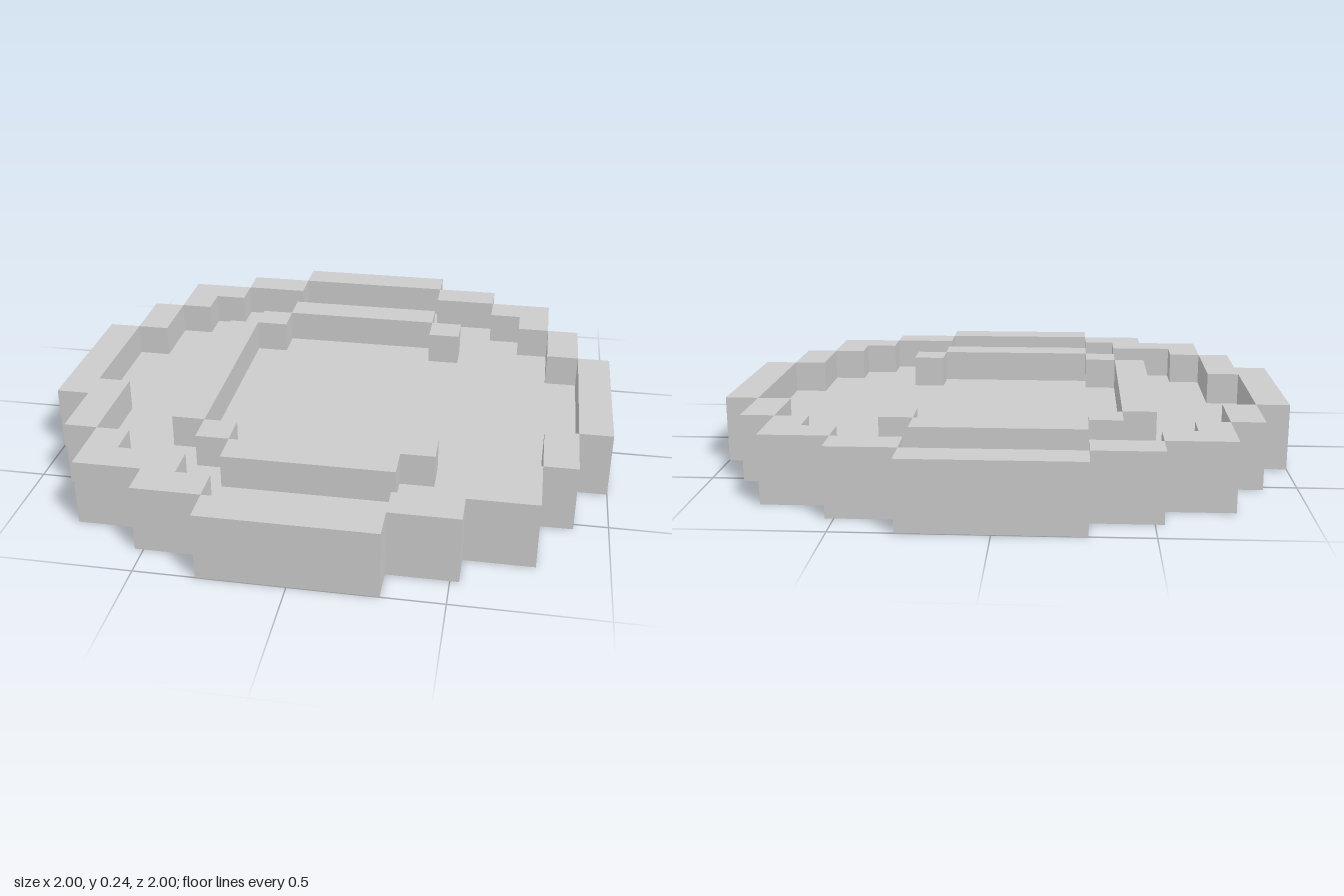
import * as THREE from 'three';

const U = 2 / 17; // one grid cell
const material = new THREE.MeshStandardMaterial({ color: 0xcccccc, flatShading: true });

// Box given by its x, y and z limits in cells
function block(name, x0, x1, y0, y1, z0, z1) {
  const geometry = new THREE.BoxGeometry((x1 - x0) * U, (y1 - y0) * U, (z1 - z0) * U);
  geometry.translate((x0 + x1) / 2 * U, (y0 + y1) / 2 * U, (z0 + z1) / 2 * U);
  const mesh = new THREE.Mesh(geometry, material);
  mesh.name = name;
  return mesh;
}

// Upright slab standing on y = 0, from an outline of [x, z] in cells
function slab(name, outline, height) {
  const shape = new THREE.Shape(outline.map(([x, z]) => new THREE.Vector2(x * U, -z * U)));
  const geometry = new THREE.ExtrudeGeometry(shape, { depth: height * U, bevelEnabled: false });
  geometry.rotateX(-Math.PI / 2);
  const mesh = new THREE.Mesh(geometry, material);
  mesh.name = name;
  return mesh;
}

export function createModel() {
  const model = new THREE.Group();
  model.name = 'steppedDisc';

  // Sunken floor: one stepped quadrant repeated by quarter turns
  const steps = [
    [7.5, 2.5], [6.5, 2.5], [6.5, 4.5], [5.5, 4.5], [5.5, 5.5],
    [4.5, 5.5], [4.5, 6.5], [2.5, 6.5], [2.5, 7.5],
  ];
  const outline = [];
  for (let i = 0; i < 4; i++) {
    for (const [x, z] of steps) {
      outline.push([[x, z], [-z, x], [-x, -z], [z, -x]][i]);
    }
  }
  model.add(slab('floor', outline, 1));

  // Rim: straight bar, two steps and an L-shaped corner per quarter
  const corner = [[4.5, 6.5], [6.5, 6.5], [6.5, 4.5], [5.5, 4.5], [5.5, 5.5], [4.5, 5.5]];
  for (let i = 0; i < 4; i++) {
    const quarter = new THREE.Group();
    quarter.name = 'rimQuarter';
    quarter.add(
      block('rimBar', -2.5, 2.5, 0, 2, 7.5, 8.5),
      block('rimStep', 2.5, 4.5, 0, 2, 6.5, 7.5),
      block('rimStep', 6.5, 7.5, 0, 2, 2.5, 4.5),
      slab('rimCorner', corner, 2),
    );
    quarter.rotation.y = i * Math.PI / 2;
    model.add(quarter);
  }

  // Two extra blocks thicken the rim at the front right
  model.add(
    block('rimFiller', -7.5, -6.5, 1, 2, 1.5, 2.5),
    block('rimFiller', -4.5, -3.5, 1, 2, 5.5, 6.5),
  );

  // Raised ridge on the floor, open towards +x
  const ridge = new THREE.Group();
  ridge.name = 'raisedRidge';
  ridge.add(block('ridgeSide', -4.5, -3.5, 1, 2, -3.5, 3.5));
  for (const s of [-1, 1]) {
    const span = (a, b) => (s > 0 ? [a, b] : [-b, -a]);
    ridge.add(
      block('ridgeBar', -2.5, 2.5, 1, 2, ...span(4.5, 5.5)),
      block('ridgeCorner', -3.5, -2.5, 1, 2, ...span(3.5, 4.5)),
      block('ridgeEnd', 2.5, 3.5, 1, 2, ...span(3.5, 4.5)),
    );
  }
  model.add(ridge);

  return model;
}
